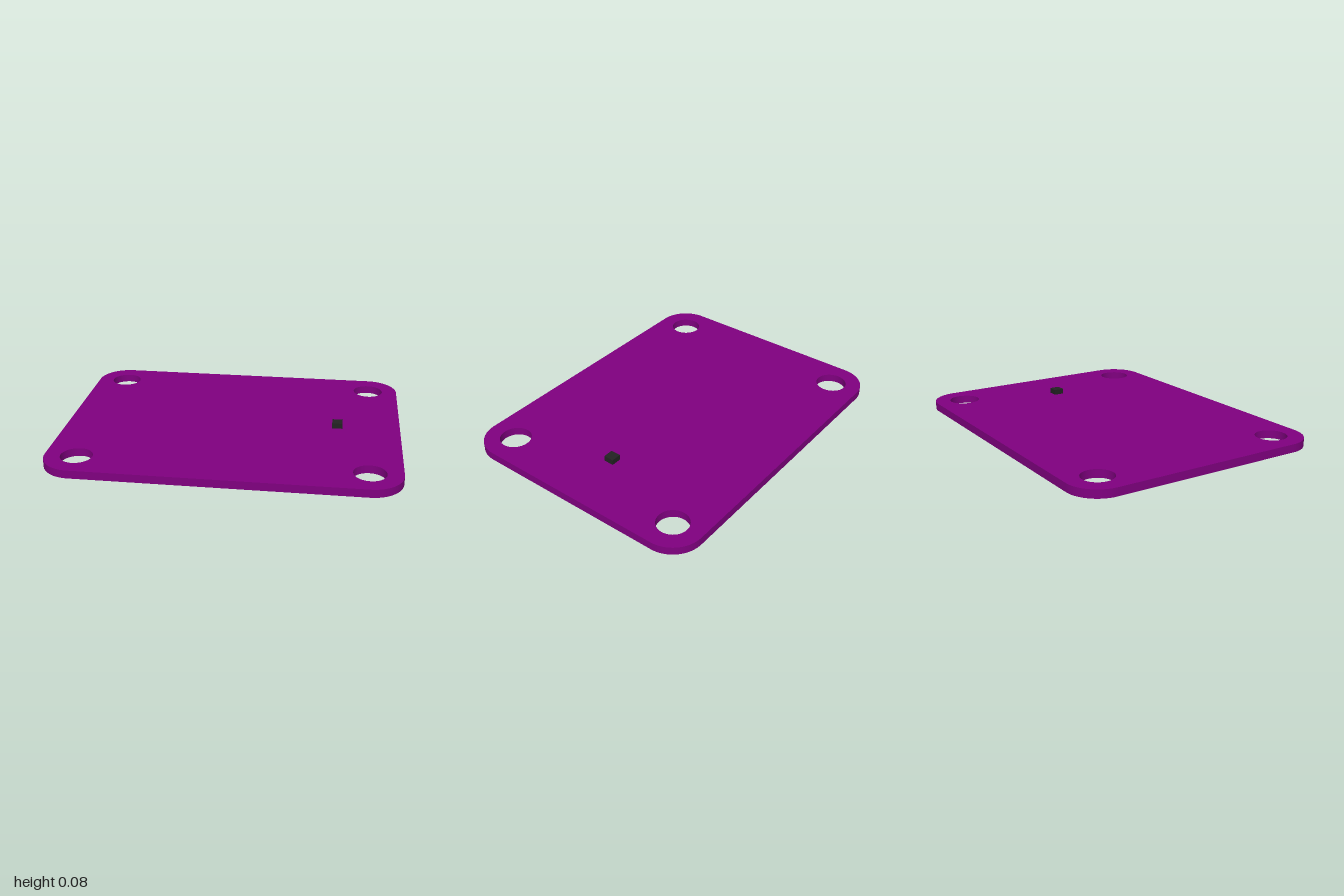
import * as THREE from 'three';
import { toCreasedNormals } from 'three/addons/utils/BufferGeometryUtils.js';

const HALF_W = 1, HALF_D = 0.768, THICK = 0.048;
const CORNER_R = 0.184, HOLE_R = 0.092;

export function createModel() {
  const group = new THREE.Group();
  const cx = HALF_W - CORNER_R, cz = HALF_D - CORNER_R;

  // Rounded outline: one quarter arc per corner, counter-clockwise
  const outline = new THREE.Shape();
  const corners = [[cx, cz], [-cx, cz], [-cx, -cz], [cx, -cz]];
  corners.forEach(([x, y], i) => {
    const start = i * Math.PI / 2;
    outline.absarc(x, y, CORNER_R, start, start + Math.PI / 2, false);
    // Mounting hole concentric with the corner
    outline.holes.push(new THREE.Path().absarc(x, y, HOLE_R, 0, Math.PI * 2, true));
  });
  outline.closePath();

  // Board plate, laid flat on the ground
  const plateGeo = new THREE.ExtrudeGeometry(outline, {
    depth: THICK, bevelEnabled: false, curveSegments: 24,
  });
  plateGeo.rotateX(-Math.PI / 2);
  const plate = new THREE.Mesh(
    toCreasedNormals(plateGeo, Math.PI / 5),
    new THREE.MeshStandardMaterial({ color: 0x800080 }),
  );
  plate.name = 'plate';
  group.add(plate);

  // Small dark component on the top face
  const chipH = 0.032;
  const chip = new THREE.Mesh(
    new THREE.BoxGeometry(0.062, chipH, 0.062),
    new THREE.MeshStandardMaterial({ color: 0x222222 }),
  );
  chip.name = 'chip';
  chip.position.set(0.627, THICK + chipH / 2, 0);
  group.add(chip);

  return group;
}
